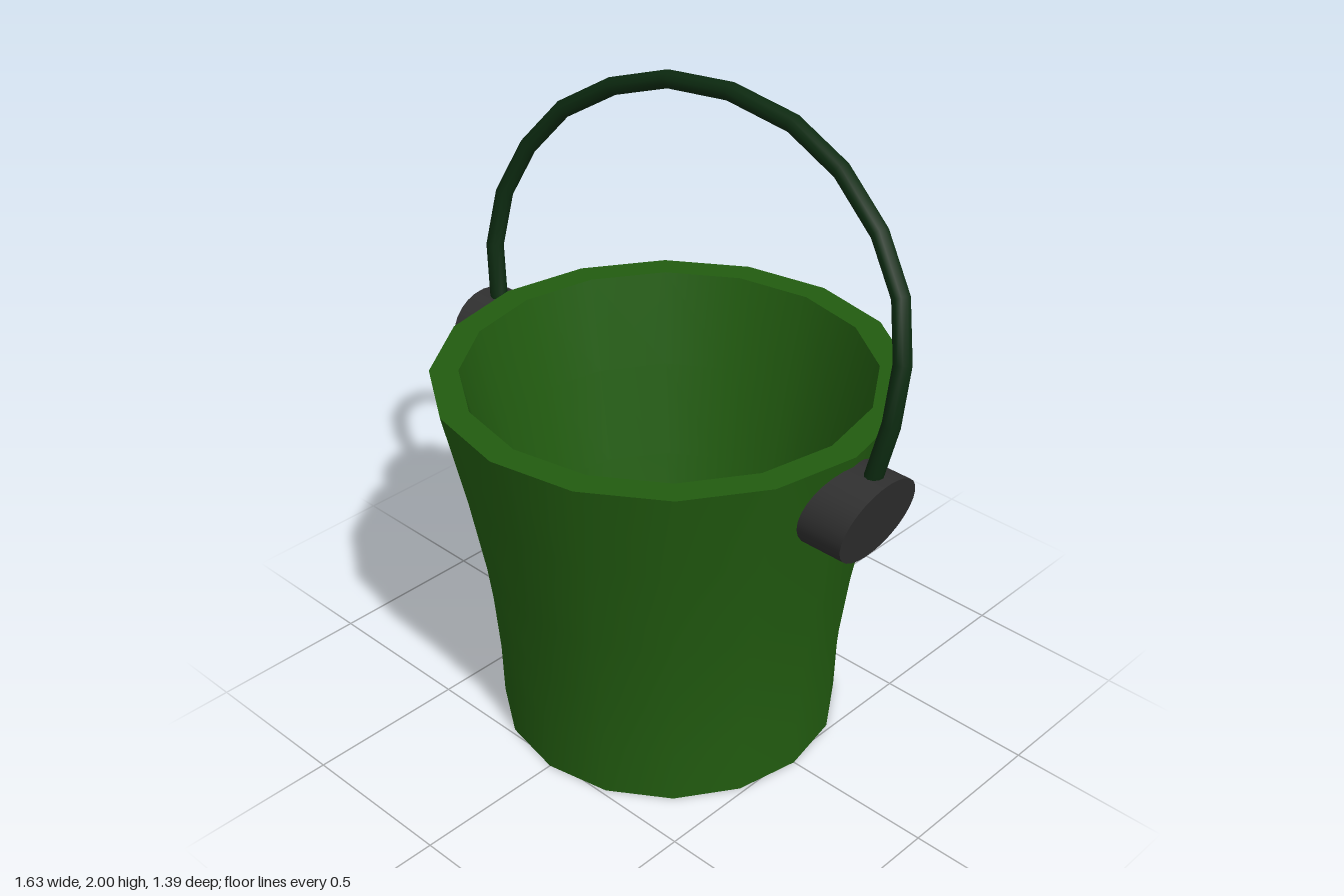
import * as THREE from 'three';

const green = new THREE.MeshStandardMaterial({ color: 0x225c10 });
const darkGreen = new THREE.MeshStandardMaterial({ color: 0x0c2a10 });
const charcoal = new THREE.MeshStandardMaterial({ color: 0x303030 });

const SIDES = 16;

function addMesh(parent, name, geometry, material) {
  const mesh = new THREE.Mesh(geometry, material);
  mesh.name = name;
  parent.add(mesh);
  return mesh;
}

export function createModel() {
  const model = new THREE.Group();
  model.name = 'bucket';

  // Body: one lathe per surface, so the rim and base edges stay sharp
  const body = new THREE.Group();
  body.name = 'body';
  model.add(body);
  const profiles = {
    base: [[0, 0], [0.525, 0]],
    outerWall: [[0.525, 0], [0.53, 0.17], [0.546, 0.36], [0.575, 0.58], [0.63, 0.88], [0.695, 1.175]],
    rim: [[0.695, 1.175], [0.61, 1.175]],
    innerWall: [[0.61, 1.175], [0.545, 0.88], [0.482, 0.58], [0.425, 0.34], [0.37, 0.12]],
    floor: [[0.37, 0.12], [0, 0.12]],
  };
  for (const [name, points] of Object.entries(profiles)) {
    const profile = points.map(([r, y]) => new THREE.Vector2(r, y));
    addMesh(body, name, new THREE.LatheGeometry(profile, SIDES), green);
  }

  // Handle mounts: elliptical drums sheared to follow the sloping wall
  const mountGeometry = new THREE.CylinderGeometry(1, 1, 1, 28);
  mountGeometry.rotateZ(-Math.PI / 2);
  mountGeometry.scale(0.18, 0.133, 0.155);
  mountGeometry.applyMatrix4(new THREE.Matrix4().set(
    1, 0.245, 0, 0.69,
    0, 1, 0, 1.008,
    0, 0, 1, 0,
    0, 0, 0, 1,
  ));
  addMesh(model, 'leftMount', mountGeometry, charcoal);
  addMesh(model, 'rightMount', mountGeometry, charcoal).rotation.y = Math.PI;

  // Handle: faceted arch leaning increasingly backwards with height
  const arch = [
    [-0.715, 1.02], [-0.745, 1.15], [-0.775, 1.3], [-0.76, 1.47], [-0.69, 1.63],
    [-0.575, 1.77], [-0.4, 1.88], [-0.2, 1.95], [0.03, 1.974], [0.265, 1.95],
    [0.455, 1.88], [0.62, 1.765], [0.73, 1.63], [0.78, 1.47], [0.783, 1.3],
    [0.755, 1.15], [0.72, 1.02],
  ].map(([x, y]) => {
    const rise = Math.max(0, (y - 1.13) / 0.845);
    return new THREE.Vector3(x, y, -0.005 - 0.205 * Math.pow(rise, 1.4));
  });
  const curve = new THREE.CatmullRomCurve3(arch);
  // Sample exactly at the listed points, to keep the straight segments
  curve.getPointAt = curve.getPoint;
  curve.getTangentAt = curve.getTangent;
  addMesh(model, 'handle', new THREE.TubeGeometry(curve, arch.length - 1, 0.027, 10), darkGreen);

  return model;
}
